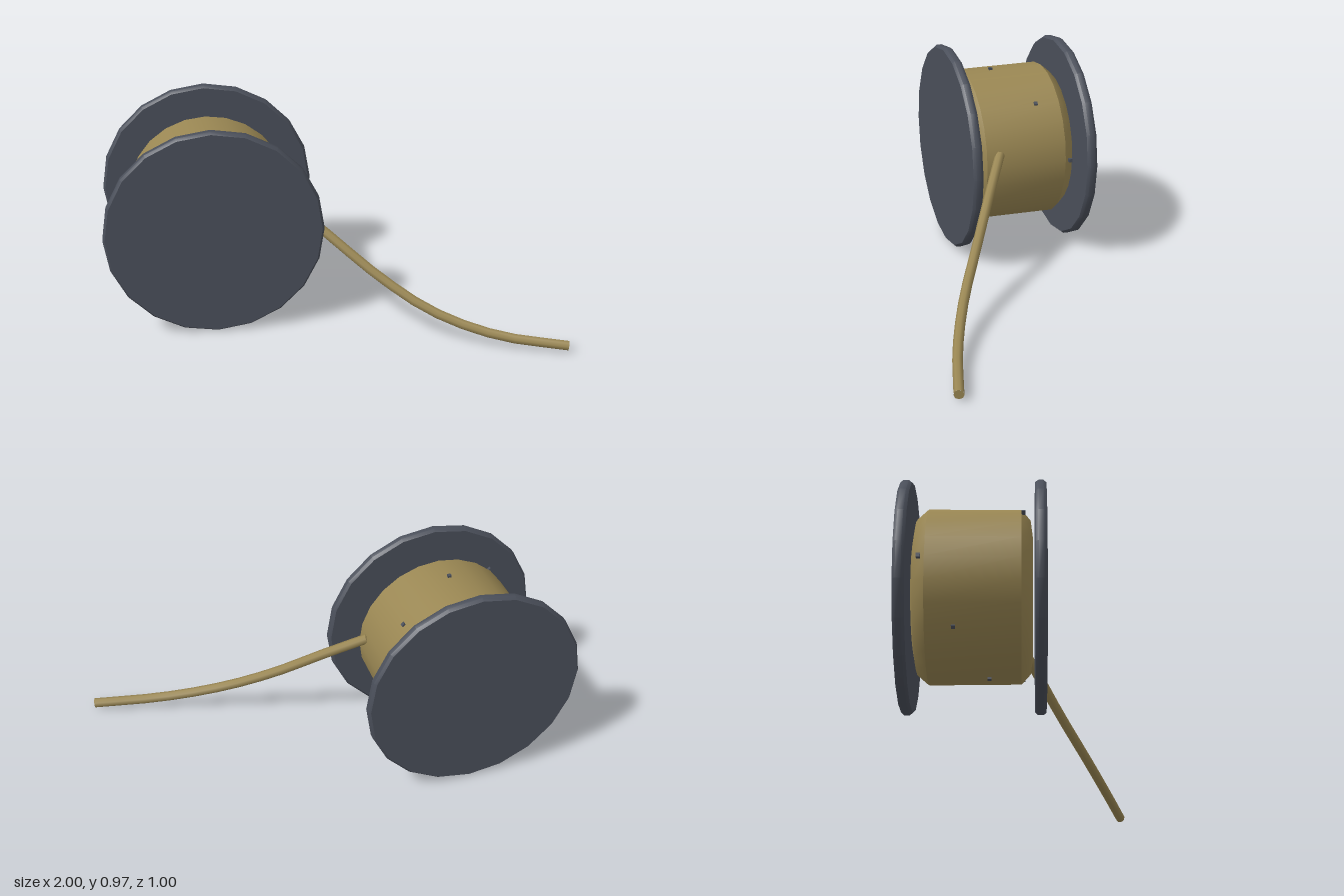
import * as THREE from 'three';
import { toCreasedNormals } from 'three/addons/utils/BufferGeometryUtils.js';

const CX = -0.518, CY = 0.49;
const steel = new THREE.MeshStandardMaterial({ color: 0x4a4f5a });
const hemp = new THREE.MeshStandardMaterial({ color: 0x9a8753 });

// Solid of revolution about the z axis; profile is [radius, z] pairs
function turned(name, profile, sides, material) {
  const points = profile.map(([r, z]) => new THREE.Vector2(r, z));
  const geometry = new THREE.LatheGeometry(points, sides);
  geometry.rotateX(Math.PI / 2);
  const mesh = new THREE.Mesh(toCreasedNormals(geometry, 0.7), material);
  mesh.name = name;
  mesh.position.set(CX, CY, 0);
  return mesh;
}

// Thin end plate with a slightly softened rim
function flange(name, z0, z1) {
  const profile = [[0, z0], [0.475, z0], [0.485, z0 + 0.012], [0.485, z1 - 0.012], [0.475, z1], [0, z1]];
  return turned(name, profile, 20, steel);
}

export function createModel() {
  const model = new THREE.Group();
  model.name = 'cableReel';

  model.add(flange('frontFlange', 0.05, 0.096));
  model.add(flange('backFlange', -0.497, -0.45));

  // Wound drum with chamfered ends
  model.add(turned('drum', [
    [0, -0.445], [0.25, -0.445], [0.322, -0.432], [0.363, -0.385],
    [0.36, -0.005], [0.318, 0.032], [0.25, 0.041], [0, 0.041],
  ], 24, hemp));

  // Small studs stepping along the drum as they go round
  const studs = new THREE.Group();
  studs.name = 'drumStuds';
  studs.position.set(CX, CY, 0);
  const studGeometry = new THREE.BoxGeometry(0.016, 0.016, 0.016);
  for (let i = 0; i < 8; i++) {
    const a = (i * Math.PI) / 4;
    const stud = new THREE.Mesh(studGeometry, steel);
    stud.name = 'stud';
    stud.position.set(Math.cos(a) * 0.362, Math.sin(a) * 0.362, -0.408 + (i % 4) * 0.137);
    stud.rotation.z = a;
    studs.add(stud);
  }
  model.add(studs);

  // Loose end trailing down to the ground
  const path = new THREE.CatmullRomCurve3([
    [-0.175, 0.55, -0.07], [0, 0.42, 0.04], [0.2, 0.27, 0.162],
    [0.42, 0.145, 0.285], [0.69, 0.065, 0.393], [0.995, 0.037, 0.479],
  ].map((p) => new THREE.Vector3(...p)));
  const rope = new THREE.Group();
  rope.name = 'looseEnd';
  const tube = new THREE.Mesh(new THREE.TubeGeometry(path, 12, 0.022, 8), hemp);
  tube.name = 'rope';
  rope.add(tube);
  for (const [t, sign] of [[0, -1], [1, 1]]) {
    const cap = new THREE.Mesh(new THREE.CircleGeometry(0.022, 8), hemp);
    cap.name = 'ropeTip';
    cap.position.copy(path.getPoint(t));
    cap.quaternion.setFromUnitVectors(new THREE.Vector3(0, 0, 1), path.getTangent(t).multiplyScalar(sign));
    rope.add(cap);
  }
  model.add(rope);

  return model;
}
